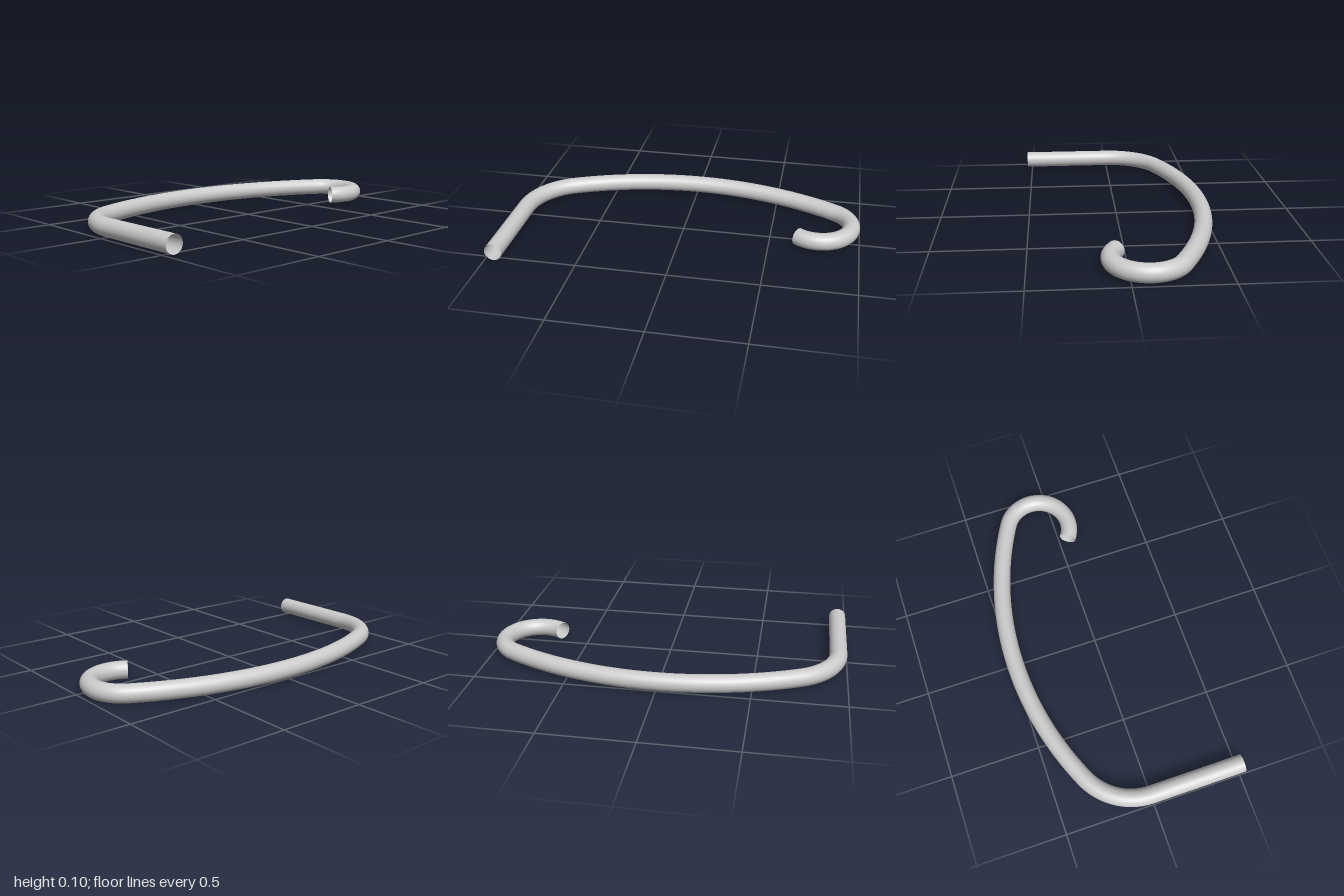
import * as THREE from 'three';

// Open-ended bent tube: straight leg, shoulder bend, long bow and curled hook,
// with every arc tangent to the next. The path is drawn flat in x and z.
export function createModel() {
  const tubeRadius = 0.049;
  const side = 1 - tubeRadius;   // centreline of the outermost bends
  const frontZ = 0.53;
  const apexZ = -0.481;          // rearmost point of the bow's centreline

  // hook circle
  const hook = { x: 0.766, z: -0.1, r: 0.185, end: THREE.MathUtils.degToRad(126) };

  // bow circle: centred on x = 0, through the apex, tangent to the hook
  const d = hook.z - apexZ;
  const bowR = (hook.x ** 2 + d ** 2 - hook.r ** 2) / (2 * (d - hook.r));
  const bowZ = apexZ + bowR;

  // shoulder circle: tangent to the straight leg and to the bow
  const shoulderR = (bowR ** 2 - bowZ ** 2 - side ** 2) / (2 * (bowR - side));
  const shoulderX = shoulderR - side;

  const bowStart = Math.atan2(-bowZ, shoulderX);
  const bowEnd = Math.atan2(hook.z - bowZ, hook.x);

  const path = new THREE.Path();
  path.moveTo(-side, frontZ);
  path.lineTo(-side, 0);
  path.absarc(shoulderX, 0, shoulderR, Math.PI, bowStart, false);
  path.absarc(0, bowZ, bowR, bowStart, bowEnd, false);
  path.absarc(hook.x, hook.z, hook.r, bowEnd, hook.end, false);

  const points = path.getSpacedPoints(160).map((p) => new THREE.Vector3(p.x, tubeRadius, p.y));
  const curve = new THREE.CatmullRomCurve3(points);
  curve.arcLengthDivisions = 800;

  const tube = new THREE.Mesh(
    new THREE.TubeGeometry(curve, 240, tubeRadius, 40, false),
    new THREE.MeshStandardMaterial({ color: 0xcccccc, side: THREE.DoubleSide })
  );
  tube.name = 'bentTube';

  const model = new THREE.Group();
  model.name = 'hookedTube';
  model.add(tube);
  return model;
}
